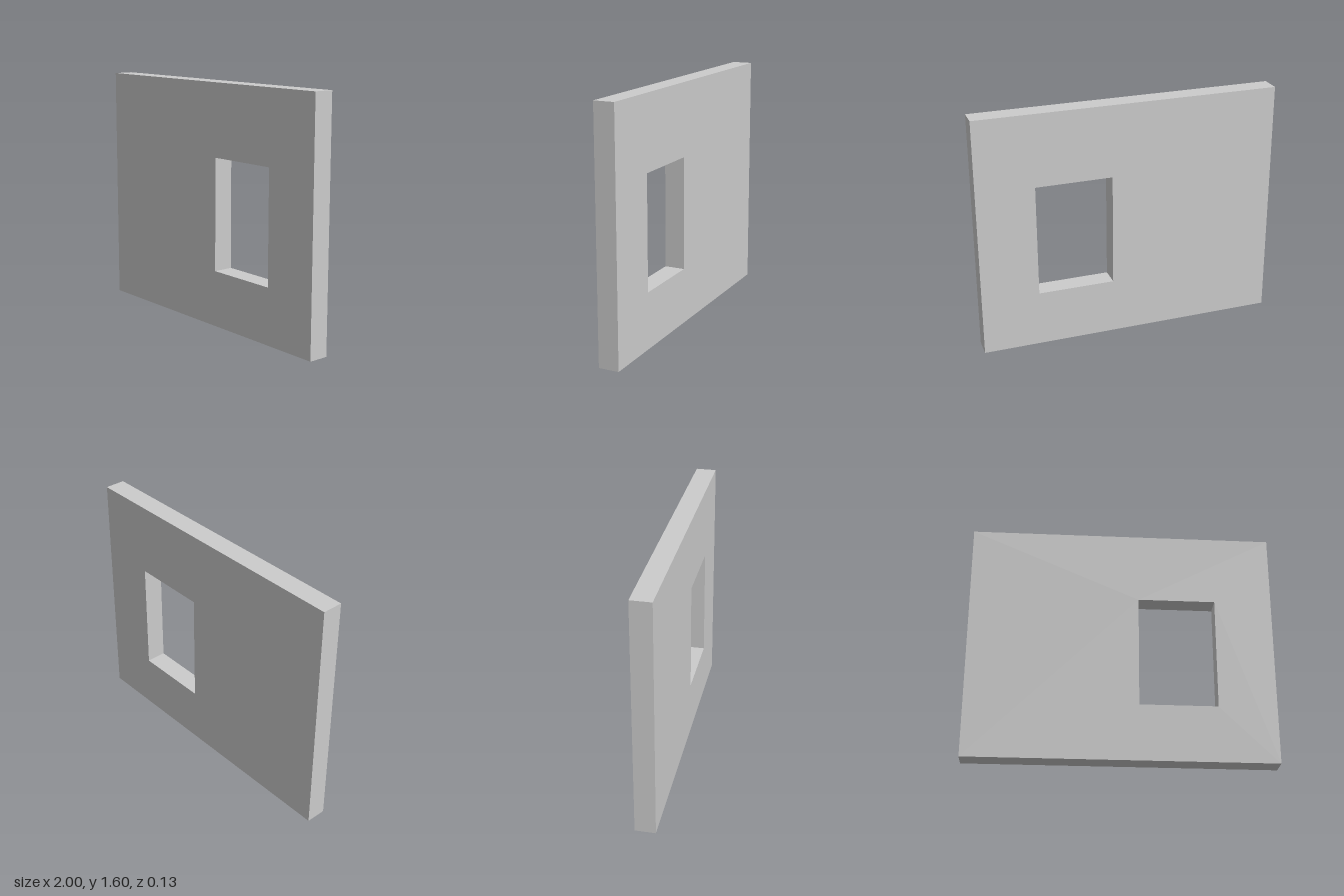
import * as THREE from 'three';

// Counter-clockwise rectangle outline
const rect = (path, x0, y0, x1, y1) => {
  path.moveTo(x0, y0);
  path.lineTo(x1, y0);
  path.lineTo(x1, y1);
  path.lineTo(x0, y1);
  path.closePath();
  return path;
};

export function createModel() {
  const group = new THREE.Group();
  group.name = 'wallPanel';
  const depth = 0.134;

  // Wall slab with an off-centre window opening
  const outline = rect(new THREE.Shape(), -1, 0, 1, 1.6);
  outline.holes.push(rect(new THREE.Path(), 0.113, 0.373, 0.62, 1.12));
  const geometry = new THREE.ExtrudeGeometry(outline, { depth, bevelEnabled: false });
  geometry.translate(0, 0, -depth / 2);

  const wall = new THREE.Mesh(
    geometry,
    new THREE.MeshStandardMaterial({ color: 0xcccccc, flatShading: true })
  );
  wall.name = 'wallWithWindowOpening';
  group.add(wall);
  return group;
}
